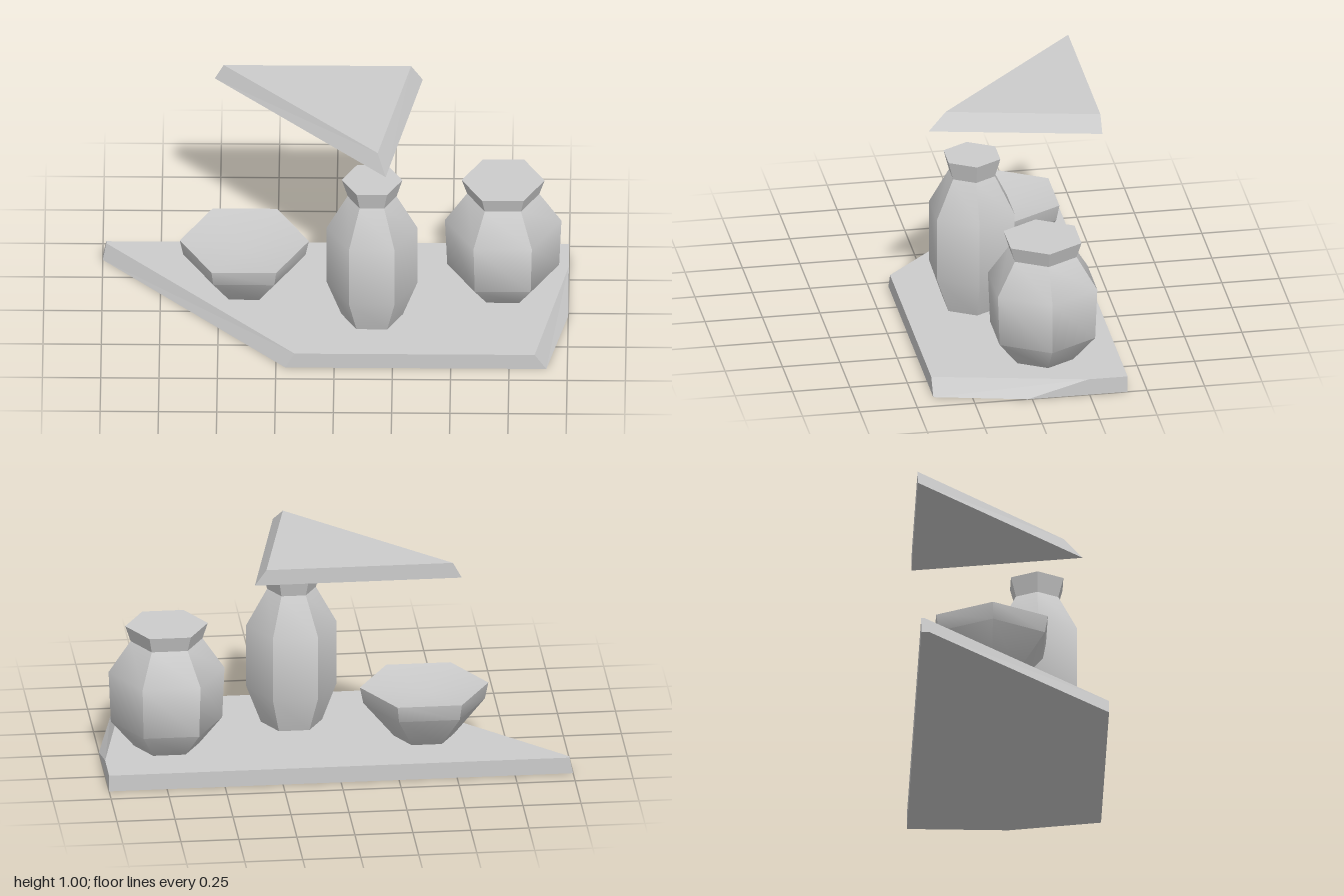
import * as THREE from 'three';
import { toCreasedNormals } from 'three/addons/utils/BufferGeometryUtils.js';

// Convex slab with bevelled sides: matching [x, z] outlines at two heights
function slab(bottom, top, y0, y1) {
  const b = bottom.map(([x, z]) => [x, y0, z]);
  const t = top.map(([x, z]) => [x, y1, z]);
  const n = b.length;
  const tris = [];
  for (let i = 0; i < n; i++) {
    const j = (i + 1) % n;
    tris.push(b[i], b[j], t[j], b[i], t[j], t[i]);
    if (i > 0 && i < n - 1) tris.push(t[0], t[i], t[i + 1], b[0], b[i + 1], b[i]);
  }
  const geo = new THREE.BufferGeometry();
  geo.setAttribute('position', new THREE.Float32BufferAttribute(tris.flat(), 3));
  geo.computeVertexNormals();
  return geo;
}

// Six-sided turned piece from [radius, y] points, corners towards +x and -x
function turned(points) {
  const profile = points.map(([r, y]) => new THREE.Vector2(r, y));
  const geo = new THREE.LatheGeometry(profile, 6, Math.PI / 2);
  return toCreasedNormals(geo, THREE.MathUtils.degToRad(50));
}

export function createModel() {
  const group = new THREE.Group();
  const clay = new THREE.MeshStandardMaterial({ color: 0xcccccc });
  clay.name = 'light grey';

  const add = (name, geo, x = 0, z = 0) => {
    const mesh = new THREE.Mesh(geo, clay);
    mesh.name = name;
    mesh.position.set(x, 0, z);
    group.add(mesh);
  };

  const back = -0.415, front = 0.415, floor = 0.073;

  // Shelves
  add('lowerShelf', slab(
    [[-1, back], [-1, -0.38], [-0.21, front], [0.91, front], [1, 0.02], [1, back]],
    [[-0.985, back], [-0.985, -0.4], [-0.17, front], [0.86, front], [1, -0.245], [1, back]],
    0, floor));
  add('upperShelf', slab(
    [[-0.52, back], [0.22, 0.315], [0.372, back]],
    [[-0.482, back], [0.185, 0.235], [0.322, back]],
    0.93, 1));

  // Shallow bowl with a slightly hollow top
  add('bowl', turned([[0, floor], [0.13, floor], [0.262, 0.23], [0.277, 0.303], [0, 0.263]]), -0.39, -0.097);

  // Tall vase
  add('vaseBody', turned([[0, floor], [0.132, floor], [0.195, 0.24], [0.195, 0.525], [0.105, 0.69]]), 0.16, 0.116);
  add('vaseRim', turned([[0.105, 0.69], [0.13, 0.775], [0, 0.775]]), 0.16, 0.116);

  // Round jar
  add('jarBody', turned([[0, floor], [0.14, floor], [0.24, 0.19], [0.25, 0.42], [0.155, 0.56]]), 0.72, -0.094);
  add('jarRim', turned([[0.155, 0.56], [0.178, 0.63], [0, 0.63]]), 0.72, -0.094);

  return group;
}
